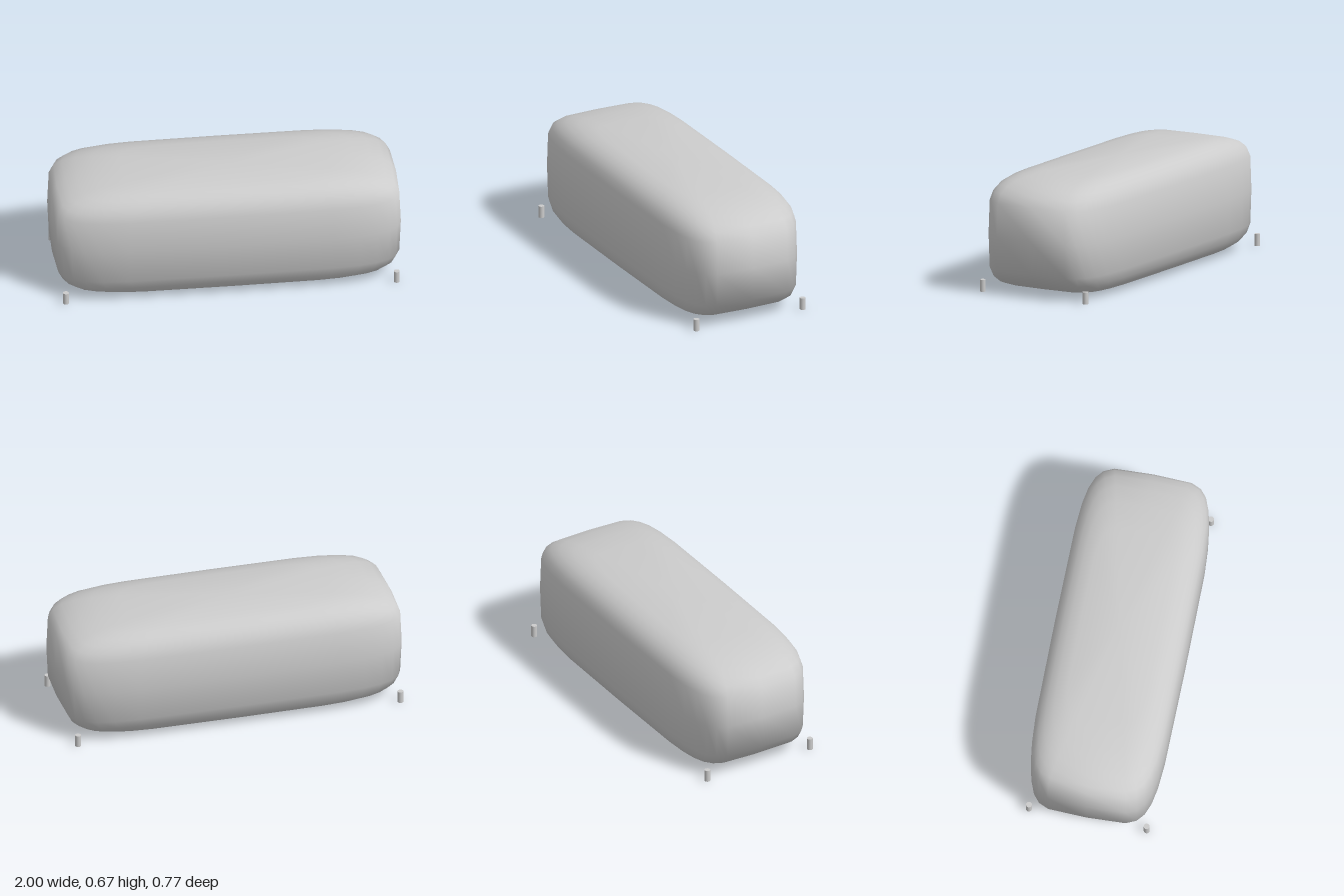
import * as THREE from 'three';

const HALF = { x: 1, y: 0.332, z: 0.384 };
const POWER = 0.35; // below 1 squares the sphere off towards a box

// Pillow-like block: a sphere squared off axis by axis, keeping its soft round normals
function squaredSphere() {
  const geometry = new THREE.SphereGeometry(1, 28, 14);
  const p = geometry.attributes.position;
  const square = (v) => Math.sign(v) * Math.abs(v) ** POWER;
  for (let i = 0; i < p.count; i++) {
    p.setXYZ(i, square(p.getX(i)), square(p.getY(i)), square(p.getZ(i)));
  }
  return geometry;
}

export function createModel() {
  const group = new THREE.Group();
  const material = new THREE.MeshStandardMaterial({ color: 0xcccccc });

  // Cushioned body
  const body = new THREE.Mesh(squaredSphere(), material);
  body.name = 'cushionBody';
  body.scale.set(HALF.x, HALF.y, HALF.z);
  body.position.y = 0.335;
  group.add(body);

  // Four short round feet under the corners
  const footGeometry = new THREE.CylinderGeometry(0.017, 0.017, 0.07, 16);
  for (const [side, x] of [['Left', 0.953], ['Right', -0.953]]) {
    for (const [end, z] of [['front', 0.343], ['back', -0.343]]) {
      const foot = new THREE.Mesh(footGeometry, material);
      foot.name = `${end}${side}Foot`;
      foot.position.set(x, 0.035, z);
      group.add(foot);
    }
  }
  return group;
}
